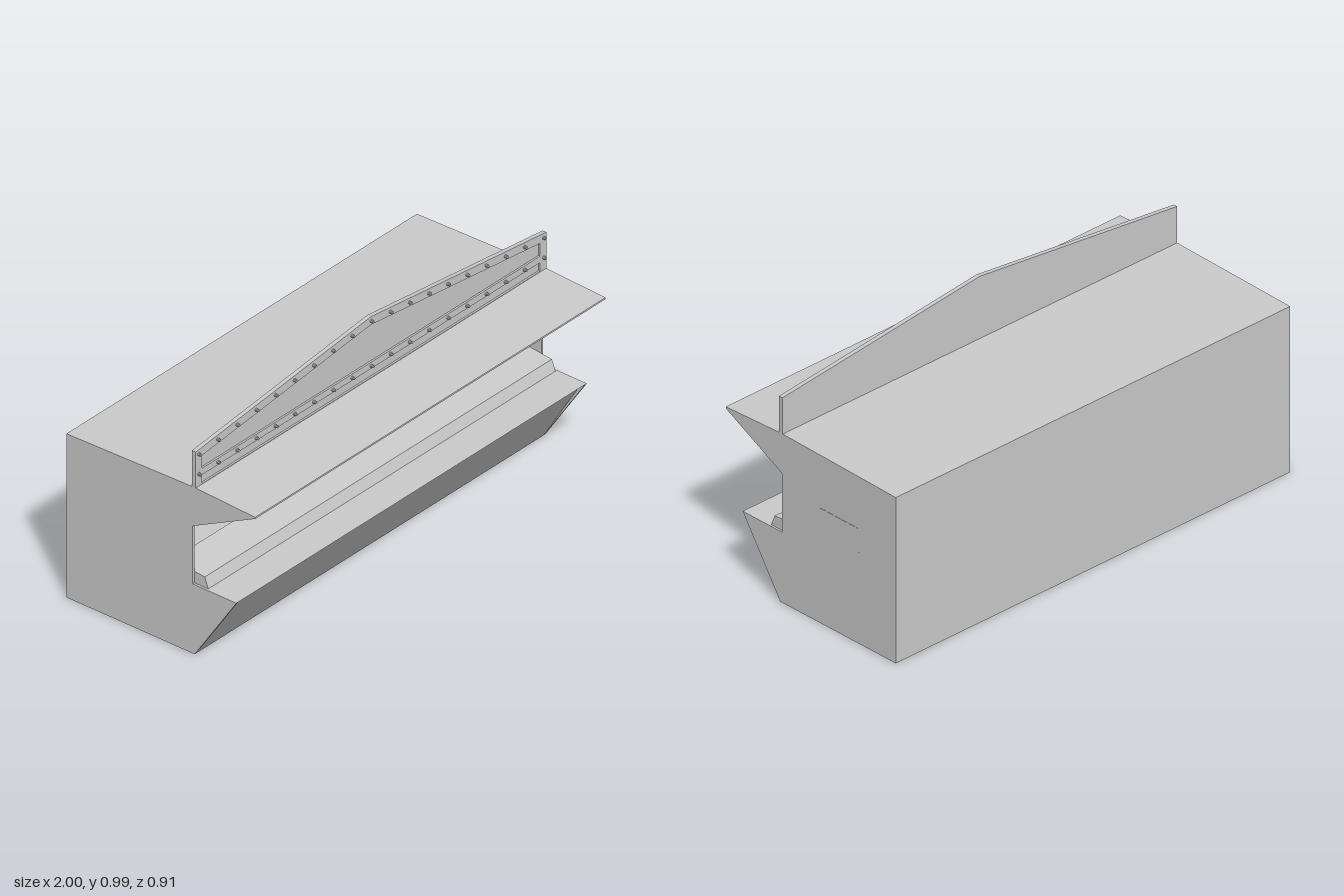
import * as THREE from 'three';

const mat = new THREE.MeshStandardMaterial({ color: 0xcccccc, flatShading: true });

export function createModel() {
  const root = new THREE.Group();

  const add = (name, geometry, x = 0, y = 0, z = 0) => {
    const mesh = new THREE.Mesh(geometry, mat);
    mesh.name = name;
    mesh.position.set(x, y, z);
    root.add(mesh);
    return mesh;
  };
  // Box given by its limits on each axis
  const box = (name, x0, x1, y0, y1, z0, z1) =>
    add(name, new THREE.BoxGeometry(x1 - x0, y1 - y0, z1 - z0),
      (x0 + x1) / 2, (y0 + y1) / 2, (z0 + z1) / 2);
  const polygon = (points) => points.map(([a, b]) => new THREE.Vector2(a, b));
  // Profile of [z, y] points swept along x
  const sweep = (name, points, x0, x1) => {
    const g = new THREE.ExtrudeGeometry(new THREE.Shape(polygon(points)),
      { depth: x1 - x0, bevelEnabled: false });
    g.rotateY(-Math.PI / 2);
    return add(name, g, x1);
  };

  const wall = 0.01, inner = 1 - wall;

  // End walls with the serving notch, counter prow and awning cheek
  const endProfile = [
    [-0.45, 0], [0.165, 0], [0.365, 0.3], [0.155, 0.3], [0.155, 0.55],
    [0.455, 0.7], [0.455, 0.707], [0.16, 0.72], [-0.45, 0.707],
  ];
  sweep('rightEndWall', endProfile, -1, -inner);
  sweep('leftEndWall', endProfile, inner, 0.999);

  // Shell between the end walls
  box('floor', -inner, inner, 0, wall, -0.45, 0.165);
  box('backWall', -inner, inner, 0, 0.7, -0.45, -0.44);
  sweep('roof', [
    [-0.45, 0.69], [0.16, 0.69], [0.455, 0.7], [0.455, 0.707], [0.16, 0.72], [-0.45, 0.707],
  ], -inner, inner);

  // Counter: sloping front panel under an overhanging shelf
  sweep('counterFront', [
    [0.155, 0], [0.165, 0], [0.33, 0.268], [0.365, 0.3], [0.05, 0.3], [0.05, 0.27], [0.315, 0.268],
  ], -inner, inner);
  sweep('counterTop', [
    [0.05, 0.3], [0.222, 0.3], [0.205, 0.345], [0.155, 0.35], [0.05, 0.36],
  ], -inner, inner);

  // Door on the left end, with hinges at its rear edge
  box('door', 0.998, 1, 0.005, 0.49, -0.25, -0.04);
  for (const y of [0.14, 0.37]) box('doorHinge', 0.998, 1, y - 0.02, y + 0.02, -0.254, -0.25);

  // Interior cabinets against the back wall
  box('floorCabinet', -inner, -0.74, wall, 0.5, -0.44, -0.3);
  box('rightWallCabinet', -inner, -0.335, 0.46, 0.69, -0.44, -0.32);
  box('leftWallCabinet', 0.59, inner, 0.46, 0.69, -0.44, -0.32);

  // Boards hung below the awning on end straps
  for (const cx of [-0.505, 0.505]) {
    box('hangingBoard', cx - 0.193, cx + 0.193, 0.555, 0.633, 0.178, 0.188);
    for (const s of [-1, 1]) {
      const x = cx + s * 0.188;
      box('boardStrap', x - 0.005, x + 0.005, 0.633, 0.692, 0.18, 0.186);
    }
  }

  // Gabled sign on the roof: backing panel and raised frame
  const outline = polygon([[-1, 0.715], [1, 0.715], [1, 0.875], [0, 0.985], [-1, 0.875]]);
  add('signPanel', new THREE.ExtrudeGeometry(new THREE.Shape(outline),
    { depth: 0.01, bevelEnabled: false }), 0, 0, 0.152);
  const frame = new THREE.Shape(outline);
  frame.holes.push(
    new THREE.Path(polygon([[-0.965, 0.788], [-0.965, 0.843], [0, 0.95], [0.965, 0.843], [0.965, 0.788]])),
    new THREE.Path(polygon([[-0.965, 0.722], [-0.965, 0.76], [0.965, 0.76], [0.965, 0.722]])),
  );
  add('signFrame', new THREE.ExtrudeGeometry(frame, { depth: 0.008, bevelEnabled: false }), 0, 0, 0.162);

  // Rows of bulbs along the gable and the lower rail
  const bulb = new THREE.CylinderGeometry(0.005, 0.007, 0.014, 10).rotateX(Math.PI / 2);
  for (let i = -9; i <= 9; i++) {
    const x = i * 0.1093;
    add('gableBulb', bulb, x, 0.967 - Math.abs(x) * 0.11, 0.176);
    add('railBulb', bulb, x, 0.773, 0.176);
  }
  return root;
}
